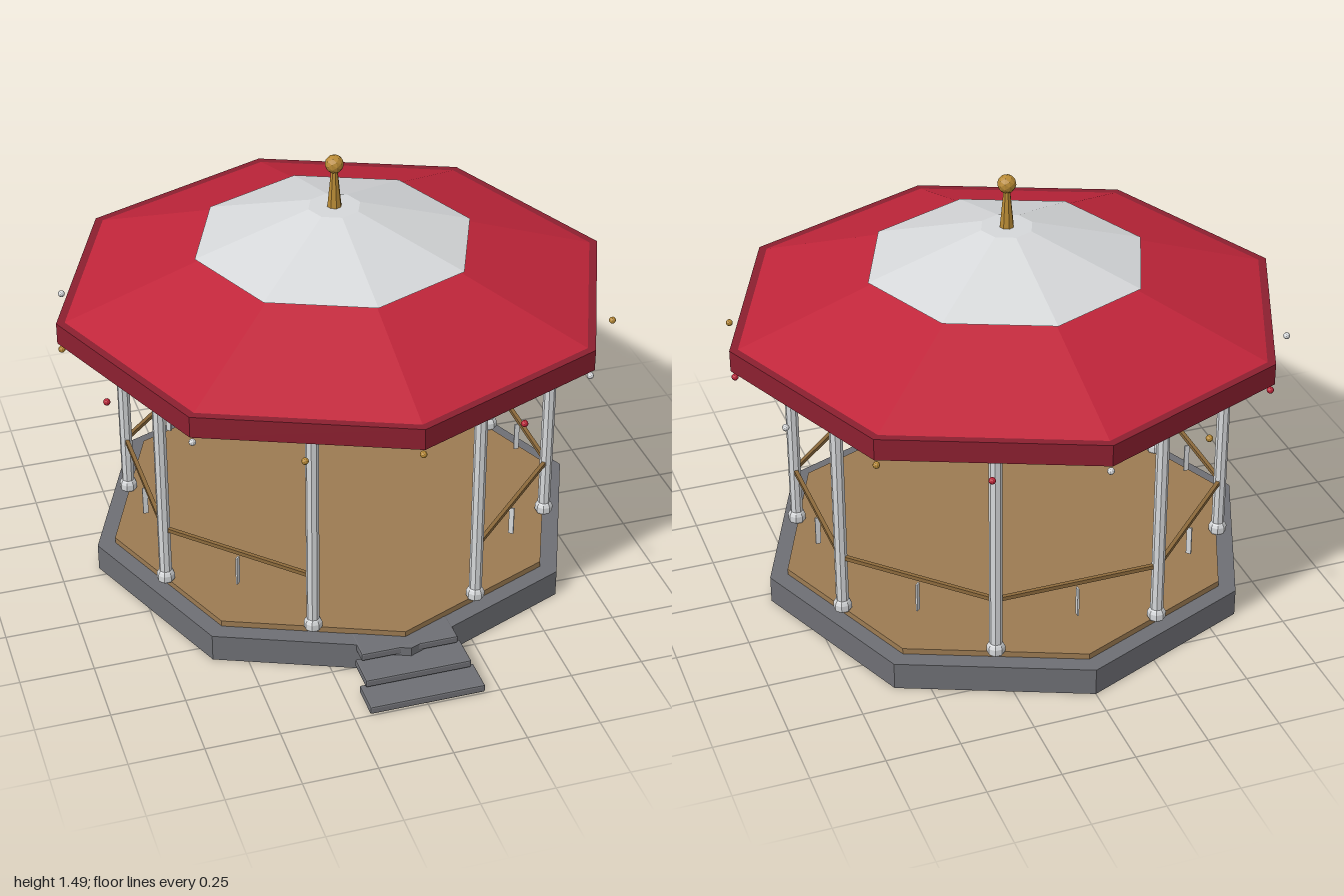
import * as THREE from 'three';
import { RoundedBoxGeometry } from 'three/addons/geometries/RoundedBoxGeometry.js';

const CENTRE_Z = -0.042;
const POST_R = 0.745;

function paint(name, color) {
  const m = new THREE.MeshStandardMaterial({ color, flatShading: true });
  m.name = name;
  return m;
}

export function createModel() {
  const model = new THREE.Group();
  model.name = 'bandstand';
  const pavilion = new THREE.Group();
  pavilion.name = 'pavilion';
  pavilion.position.z = CENTRE_Z;
  model.add(pavilion);

  const stone = paint('stone', 0x6e6f74);
  const wood = paint('deckWood', 0x9c7b52);
  const railWood = paint('railWood', 0x8c6a3c);
  const silver = paint('paleGrey', 0xd6d8da);
  const red = paint('roofRed', 0xc0253a);
  const darkRed = paint('trimRed', 0x8c2030);
  const gold = paint('gold', 0xb88a35);

  const add = (parent, name, geometry, material, x = 0, y = 0, z = 0) => {
    const mesh = new THREE.Mesh(geometry, material);
    mesh.name = name;
    mesh.position.set(x, y, z);
    parent.add(mesh);
    return mesh;
  };
  // Eight-sided slab or frustum between two heights
  const octagon = (name, rTop, rBottom, y0, y1, material) =>
    add(pavilion, name, new THREE.CylinderGeometry(rTop, rBottom, y1 - y0, 8), material, 0, (y0 + y1) / 2, 0);

  // Floor
  octagon('plinth', 0.865, 0.865, 0, 0.097, stone);
  octagon('deck', 0.802, 0.802, 0.097, 0.118, wood);

  // Roof
  octagon('fascia', 0.957, 0.957, 0.94, 1.015, darkRed);
  octagon('mainRoof', 0.45, 0.928, 1.015, 1.18, red);
  octagon('upperRoof', 0.09, 0.482, 1.18, 1.305, silver);

  // Finial
  add(pavilion, 'finialStem', new THREE.CylinderGeometry(0.011, 0.025, 0.14, 8), gold, 0, 1.372, 0);
  add(pavilion, 'finialBall', new THREE.IcosahedronGeometry(0.032, 1), gold, 0, 1.46, 0);

  // Posts with a moulded foot and head
  const postProfile = [
    [0, 0.118], [0.027, 0.118], [0.031, 0.125], [0.031, 0.145], [0.026, 0.155], [0.022, 0.16],
    [0.022, 0.92], [0.03, 0.93], [0.03, 0.942], [0, 0.942],
  ].map(([r, y]) => new THREE.Vector2(r, y));
  const postGeometry = new THREE.LatheGeometry(postProfile, 8, Math.PI / 8);
  for (let i = 0; i < 8; i++) {
    const a = (i + 0.5) * Math.PI / 4;
    add(pavilion, 'post', postGeometry, silver, POST_R * Math.sin(a), 0, POST_R * Math.cos(a));
  }

  // Beams and rails between posts; the front bay stays open for the steps
  const span = 2 * POST_R * Math.sin(Math.PI / 8) - 0.03;
  const apothem = POST_R * Math.cos(Math.PI / 8);
  const beam = new THREE.BoxGeometry(span, 0.014, 0.014);
  const baluster = new THREE.BoxGeometry(0.006, 0.105, 0.018);
  for (let i = 0; i < 8; i++) {
    const bay = new THREE.Group();
    bay.name = 'bay';
    bay.rotation.y = i * Math.PI / 4;
    pavilion.add(bay);
    add(bay, 'upperBeam', beam, darkRed, 0, 0.885, apothem);
    if (i === 0) continue;
    add(bay, 'handrail', beam, railWood, 0, 0.33, apothem);
    add(bay, 'baluster', baluster, silver, 0, 0.253, apothem);
  }

  // Ring of small lamps in repeating colours
  const lamp = new THREE.IcosahedronGeometry(0.012, 1);
  const lampColours = [gold, red, silver];
  for (let i = 0; i < 16; i++) {
    const a = i * Math.PI / 8;
    add(pavilion, 'lamp', lamp, lampColours[i % 3], 0.943 * Math.sin(a), 0.915, 0.943 * Math.cos(a));
  }

  // Steps, narrowing as they rise
  for (let i = 0; i < 3; i++) {
    add(model, 'step', new RoundedBoxGeometry(0.395 - i * 0.03, 0.028, 0.12, 1, 0.006), stone,
      0, 0.018 + i * 0.033, 0.94 - i * 0.095);
  }
  return model;
}
